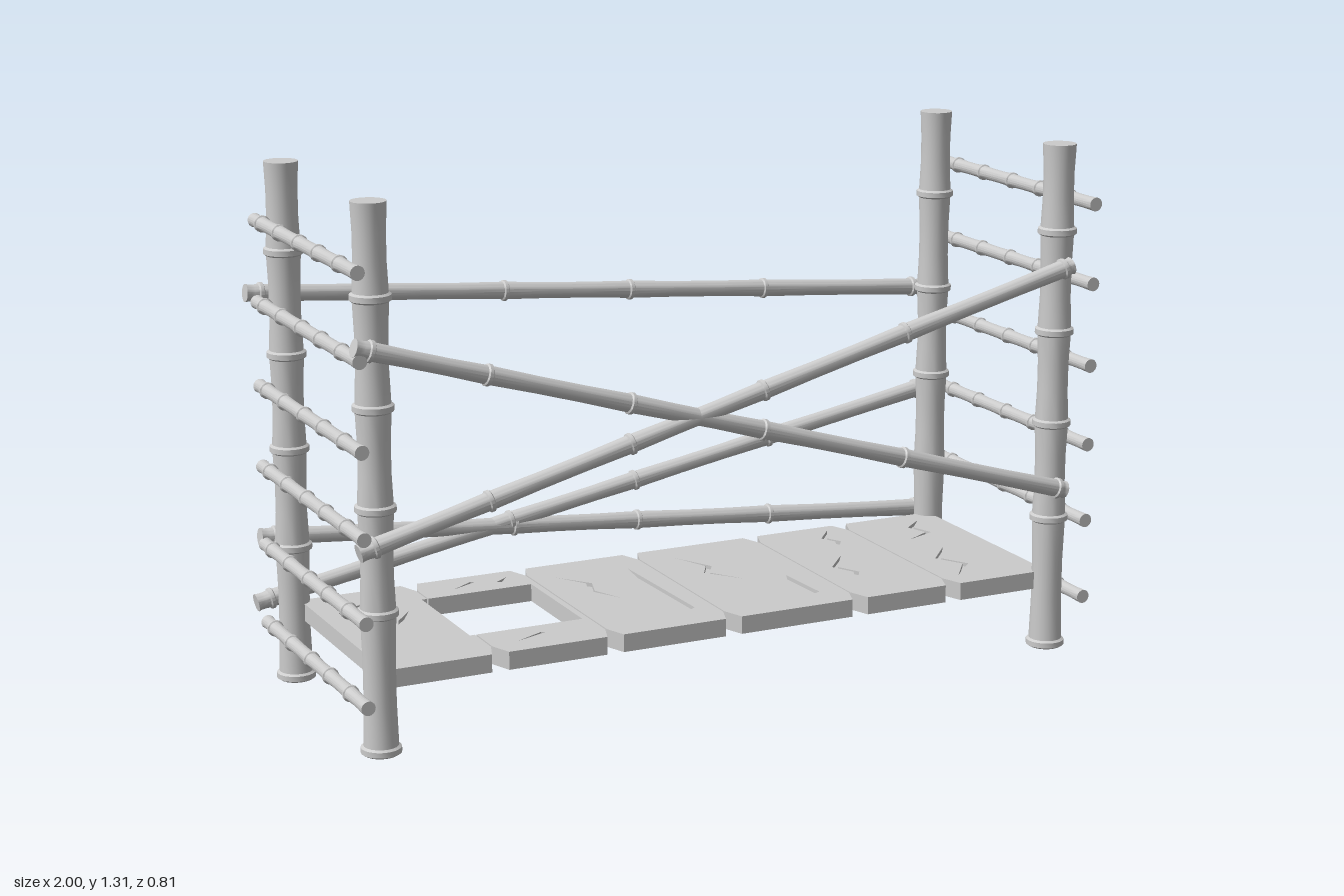
import * as THREE from 'three';
import { toCreasedNormals } from 'three/addons/utils/BufferGeometryUtils.js';

const material = new THREE.MeshStandardMaterial({ color: 0xcccccc });

// Bamboo cane from a to b: waisted segments with a raised ring at each joint (fractions of the length)
function bamboo(name, a, b, radius, joints, ringHalf, ringScale = 1.18) {
  const start = new THREE.Vector3(...a);
  const axis = new THREE.Vector3(...b).sub(start);
  const length = axis.length();
  const profile = [[0, 0]];
  const stops = [0, ...joints, 1];
  for (let i = 0; i < stops.length - 1; i++) {
    const from = stops[i] * length + (i > 0 ? ringHalf : 0);
    const to = stops[i + 1] * length - (i < joints.length ? ringHalf : 0);
    const third = (to - from) / 3;
    profile.push([radius, from], [radius * 0.92, from + third], [radius * 0.92, to - third], [radius, to]);
    if (i < joints.length) {
      const mid = stops[i + 1] * length;
      const ring = radius * ringScale;
      profile.push([ring, mid - ringHalf * 0.6], [ring, mid + ringHalf * 0.6]);
    }
  }
  profile.push([0, length]);
  const lathe = new THREE.LatheGeometry(profile.map(([r, y]) => new THREE.Vector2(r, y)), 20);
  const mesh = new THREE.Mesh(toCreasedNormals(lathe, 0.6), material);
  mesh.name = name;
  mesh.position.copy(start);
  mesh.quaternion.setFromUnitVectors(new THREE.Vector3(0, 1, 0), axis.normalize());
  return mesh;
}

// Flat slab: outline in (x, -z), extruded upward from y
function slab(name, outline, holes, y, height) {
  const toPoints = (list) => list.map(([x, z]) => new THREE.Vector2(x, -z));
  const shape = new THREE.Shape(toPoints(outline));
  holes.forEach((hole) => shape.holes.push(new THREE.Path(toPoints(hole))));
  const geometry = new THREE.ExtrudeGeometry(shape, { depth: height, bevelEnabled: false });
  geometry.rotateX(-Math.PI / 2);
  const mesh = new THREE.Mesh(geometry, material);
  mesh.name = name;
  mesh.position.y = y;
  return mesh;
}

// Thin jagged slit that tapers to a point at both ends
function crack(path, width) {
  const inner = path.slice(1, -1).reverse().map(([x, z]) => [x + width, z + width * 0.4]);
  return [...path, ...inner];
}

// Plank outline with chamfered seam corners and optional cut-outs in its long sides
function plankOutline(x0, x1, leftSeam, rightSeam, leftCut, rightCut) {
  const zBack = -0.285, zFront = 0.315, cutBack = -0.155, cutFront = 0.16;
  const cx = 0.02, cz = 0.055;
  const points = [];
  if (leftSeam) points.push([x0, zFront - cz], [x0 + cx, zFront]);
  else points.push([x0, zFront]);
  if (rightSeam) points.push([x1 - cx, zFront], [x1, zFront - cz]);
  else points.push([x1, zFront]);
  if (rightCut) points.push([x1, cutFront], [x1 - rightCut, cutFront], [x1 - rightCut, cutBack], [x1, cutBack]);
  if (rightSeam) points.push([x1, zBack + cz], [x1 - cx, zBack]);
  else points.push([x1, zBack]);
  if (leftSeam) points.push([x0 + cx, zBack], [x0, zBack + cz]);
  else points.push([x0, zBack]);
  if (leftCut) points.push([x0, cutBack], [x0 + leftCut, cutBack], [x0 + leftCut, cutFront], [x0, cutFront]);
  return points;
}

function createDeck() {
  const deck = new THREE.Group();
  deck.name = 'deck';
  const seams = [-0.9, -0.61, -0.31, 0.01, 0.365, 0.635, 0.915];
  // Carved cracks, one list per plank
  const cracks = [
    [crack([[-0.86, 0.22], [-0.84, 0.0], [-0.85, -0.14], [-0.72, -0.22]], 0.016),
      crack([[-0.78, 0.1], [-0.74, -0.02], [-0.69, -0.08]], 0.012)],
    [crack([[-0.52, -0.2], [-0.46, -0.24], [-0.4, -0.21], [-0.36, -0.24]], 0.012),
      crack([[-0.54, 0.25], [-0.46, 0.21], [-0.4, 0.25]], 0.012)],
    [[[-0.11, 0.24], [-0.04, 0.2], [-0.05, -0.17]],
      crack([[-0.25, -0.18], [-0.2, -0.1], [-0.22, -0.04], [-0.17, 0.05]], 0.014)],
    [crack([[0.1, -0.2], [0.14, -0.1], [0.11, -0.05], [0.18, 0.04]], 0.014),
      [[0.2, 0.27], [0.3, 0.22], [0.29, 0.06]]],
    [crack([[0.42, 0.2], [0.46, 0.11], [0.43, 0.05], [0.5, -0.03]], 0.014),
      crack([[0.52, -0.08], [0.55, -0.15], [0.53, -0.19], [0.58, -0.25]], 0.014)],
    [crack([[0.69, 0.25], [0.75, 0.17], [0.71, 0.1], [0.78, 0.02]], 0.014),
      crack([[0.74, -0.08], [0.81, -0.12], [0.79, -0.18], [0.85, -0.23]], 0.014)],
  ];
  const gap = 0.002;
  for (let i = 0; i < 6; i++) {
    const outline = plankOutline(
      seams[i] + (i > 0 ? gap : 0), seams[i + 1] - (i < 5 ? gap : 0), i > 0, i < 5,
      i === 1 ? 0.28 : 0, i === 0 ? 0.013 : 0,
    );
    deck.add(slab('plank', outline, [], 0.155, 0.035));
    deck.add(slab('plankSurface', outline, cracks[i], 0.19, 0.01));
  }
  return deck;
}

export function createModel() {
  const model = new THREE.Group();
  model.name = 'bambooPlatform';

  // Corner posts
  const height = 1.31;
  const postJoints = [0.01, 0.345, 0.595, 0.833, 1.09].map((y) => y / height);
  for (const x of [-0.915, 0.915]) {
    for (const z of [-0.285, 0.315]) {
      model.add(bamboo('cornerPost', [x, 0, z], [x, height, z], 0.042, postJoints, 0.011, 1.16));
    }
  }

  // Ladder rungs on both ends
  const rungJoints = [0.165, 0.36, 0.545, 0.74, 0.92];
  for (const x of [-0.972, 0.977]) {
    for (const y of [0.142, 0.345, 0.545, 0.75, 0.96, 1.163]) {
      model.add(bamboo('ladderRung', [x, y, 0.392], [x, y, -0.325], 0.0175, rungJoints, 0.005));
    }
  }

  // Slanted braces, front and back
  const braceJoints = [0.02, 0.17, 0.36, 0.545, 0.75, 0.988];
  const braces = [
    ['frontBrace', [-0.98, 0.99, 0.375], [0.92, 0.43, 0.375]],
    ['frontBrace', [-0.98, 0.51, 0.375], [0.92, 1.01, 0.375]],
    ['backRail', [-0.985, 0.973, -0.38], [0.925, 0.815, -0.38]],
    ['backBrace', [-0.995, 0.19, -0.342], [0.92, 0.545, -0.337]],
    ['backBrace', [-0.98, 0.36, -0.342], [0.92, 0.203, -0.334]],
  ];
  for (const [name, a, b] of braces) model.add(bamboo(name, a, b, 0.0225, braceJoints, 0.007));

  model.add(createDeck());
  return model;
}
